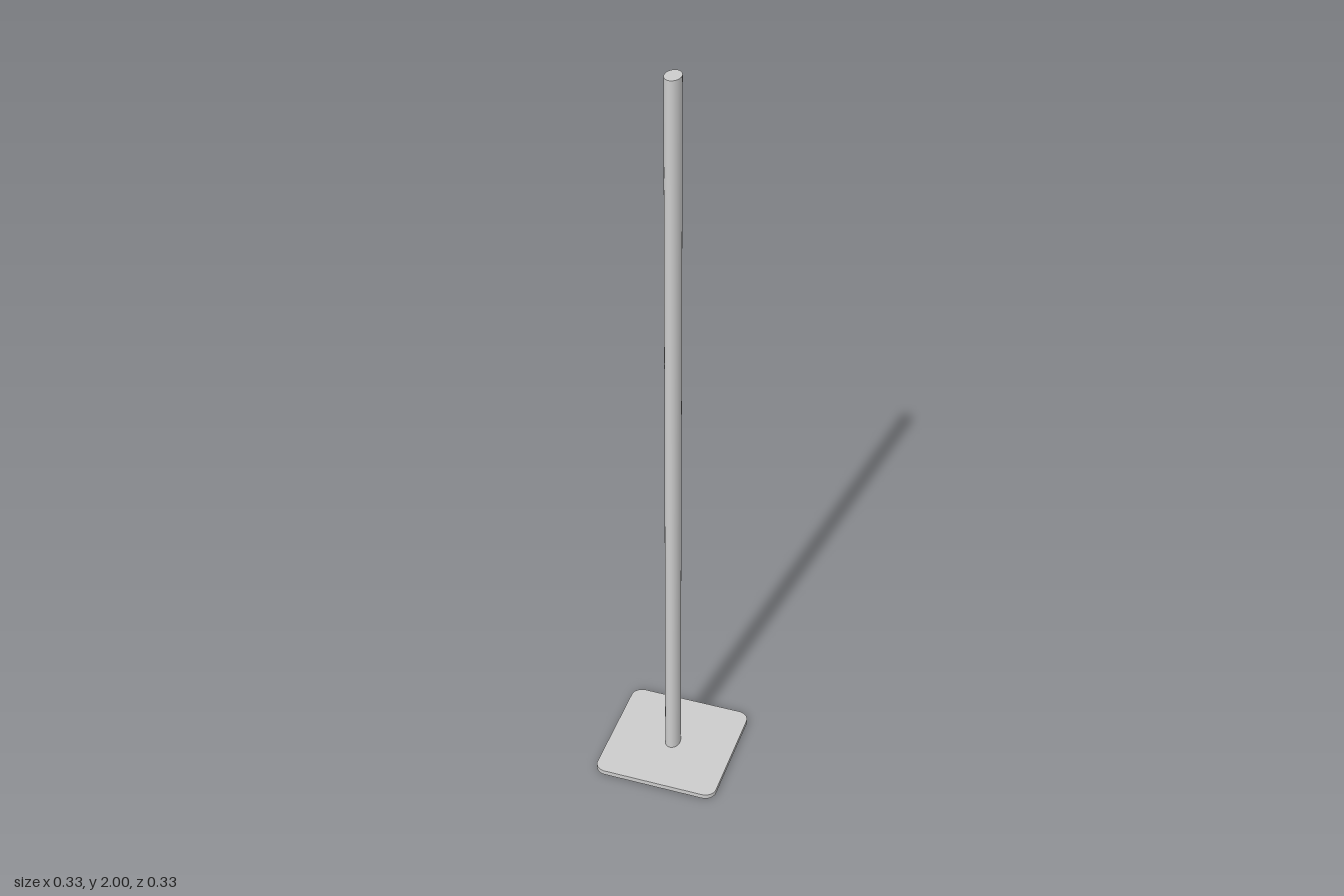
import * as THREE from 'three';

const material = new THREE.MeshStandardMaterial({ color: 0xcccccc });
const BASE = { half: 0.166, radius: 0.03, height: 0.013 };
const POLE = { rx: 0.02, rz: 0.0275, z: -0.0015, top: 2 };

// Square outline with rounded corners
function roundedSquare(h, r) {
  const shape = new THREE.Shape();
  const c = h - r;
  [[c, c], [-c, c], [-c, -c], [c, -c]].forEach(([x, y], i) => {
    shape.absarc(x, y, r, i * Math.PI / 2, (i + 1) * Math.PI / 2, false);
  });
  shape.closePath();
  return shape;
}

export function createModel() {
  const group = new THREE.Group();
  group.name = 'post';

  // Flat base plate
  const plate = new THREE.ExtrudeGeometry(roundedSquare(BASE.half, BASE.radius), {
    depth: BASE.height, bevelEnabled: false, curveSegments: 12,
  });
  plate.rotateX(-Math.PI / 2);
  const base = new THREE.Mesh(plate, material);
  base.name = 'basePlate';
  group.add(base);

  // Tall oval pole standing on the plate
  const height = POLE.top - BASE.height;
  const oval = new THREE.CylinderGeometry(1, 1, height, 48);
  oval.scale(POLE.rx, 1, POLE.rz);
  oval.translate(0, BASE.height + height / 2, POLE.z);
  const pole = new THREE.Mesh(oval, material);
  pole.name = 'pole';
  group.add(pole);

  return group;
}
